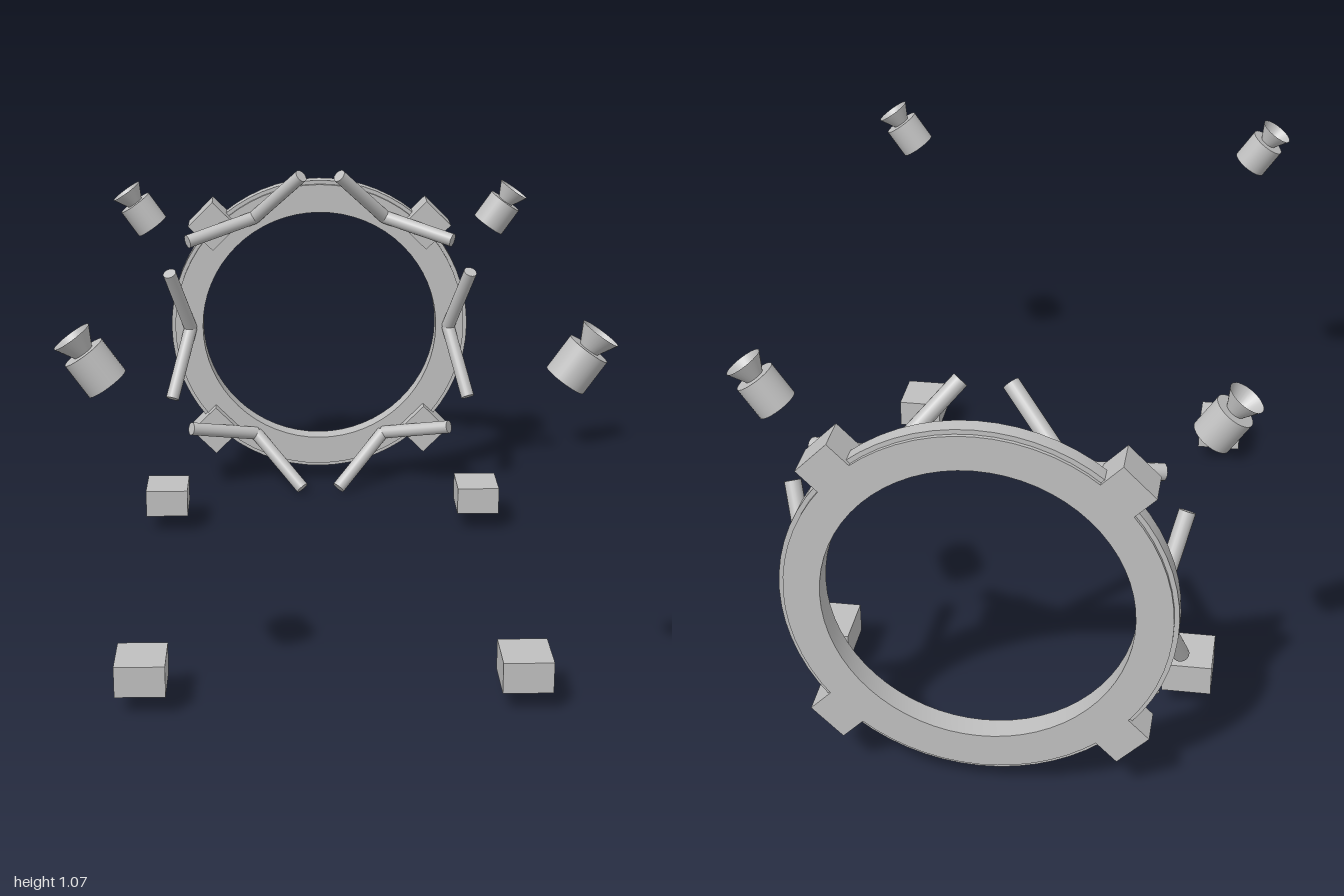
import * as THREE from 'three';
import { toCreasedNormals } from 'three/addons/utils/BufferGeometryUtils.js';

const RING_Y = 0.54;
const gray = new THREE.MeshStandardMaterial({ color: 0xc0c0c0 });
gray.name = 'gray';
const grayOpen = new THREE.MeshStandardMaterial({ color: 0xc0c0c0, side: THREE.DoubleSide });
grayOpen.name = 'gray open';

function addMesh(parent, name, geometry, x = 0, y = 0, z = 0, material = gray) {
  const mesh = new THREE.Mesh(geometry, material);
  mesh.name = name;
  mesh.position.set(x, y, z);
  parent.add(mesh);
  return mesh;
}

// Flat annulus extruded along z
function annulus(outer, inner, depth) {
  const shape = new THREE.Shape().absarc(0, 0, outer, 0, Math.PI * 2);
  shape.holes.push(new THREE.Path().absarc(0, 0, inner, 0, Math.PI * 2, true));
  const geo = new THREE.ExtrudeGeometry(shape, { depth, bevelEnabled: false, curveSegments: 32 });
  return toCreasedNormals(geo, 0.5);
}

// Capped round bar between two points
function addBar(parent, name, a, b, radius) {
  const dir = b.clone().sub(a);
  const bar = addMesh(parent, name, new THREE.CylinderGeometry(radius, radius, dir.length(), 20));
  bar.position.copy(a).add(b).multiplyScalar(0.5);
  bar.quaternion.setFromUnitVectors(new THREE.Vector3(0, 1, 0), dir.normalize());
}

export function createModel() {
  const model = new THREE.Group();
  model.name = 'ringAndLights';

  // Upright ring with a raised rim band
  const ring = new THREE.Group();
  ring.name = 'ringAssembly';
  ring.position.y = RING_Y;
  model.add(ring);
  addMesh(ring, 'ring', annulus(0.47, 0.38, 0.064), 0, 0, -1);
  addMesh(ring, 'rimBand', annulus(0.482, 0.46, 0.044), 0, 0, -0.99);

  // Four diagonal clamp blocks
  for (let i = 0; i < 4; i++) {
    const a = Math.PI / 4 + i * Math.PI / 2;
    const block = addMesh(ring, 'clampBlock', new THREE.BoxGeometry(0.111, 0.111, 0.1),
      0.484 * Math.cos(a), 0.484 * Math.sin(a), -0.95);
    block.rotation.z = a;
  }

  // Six V-shaped pairs of bars fanning forward
  for (let i = 0; i < 6; i++) {
    const pair = new THREE.Group();
    pair.name = 'barPair';
    pair.rotation.z = i * Math.PI / 3;
    ring.add(pair);
    for (const s of [-1, 1]) {
      addBar(pair, 'bar', new THREE.Vector3(0.42, 0, -0.935),
        new THREE.Vector3(0.479, s * 0.208, -0.825), 0.021);
    }
  }

  for (const side of [-1, 1]) {
    // Floor blocks
    for (const z of [0.733, -0.545]) {
      addMesh(model, 'floorBlock', new THREE.BoxGeometry(0.128, 0.082, 0.148), side * 0.484, 0.1, z);
    }
    // Tilted lamps: solid body with an open flared cone
    for (const z of [0.947, -0.758]) {
      const lamp = new THREE.Group();
      lamp.name = side > 0 ? 'leftLamp' : 'rightLamp';
      lamp.position.set(side * 0.55, 0.953, z);
      lamp.rotation.z = -side * 0.61;
      model.add(lamp);
      addMesh(lamp, 'lampBody', new THREE.CylinderGeometry(0.052, 0.052, 0.091, 32));
      addMesh(lamp, 'lampCone', new THREE.CylinderGeometry(0.049, 0.024, 0.046, 32, 1, true),
        0, 0.0675, 0, grayOpen);
    }
  }
  return model;
}
